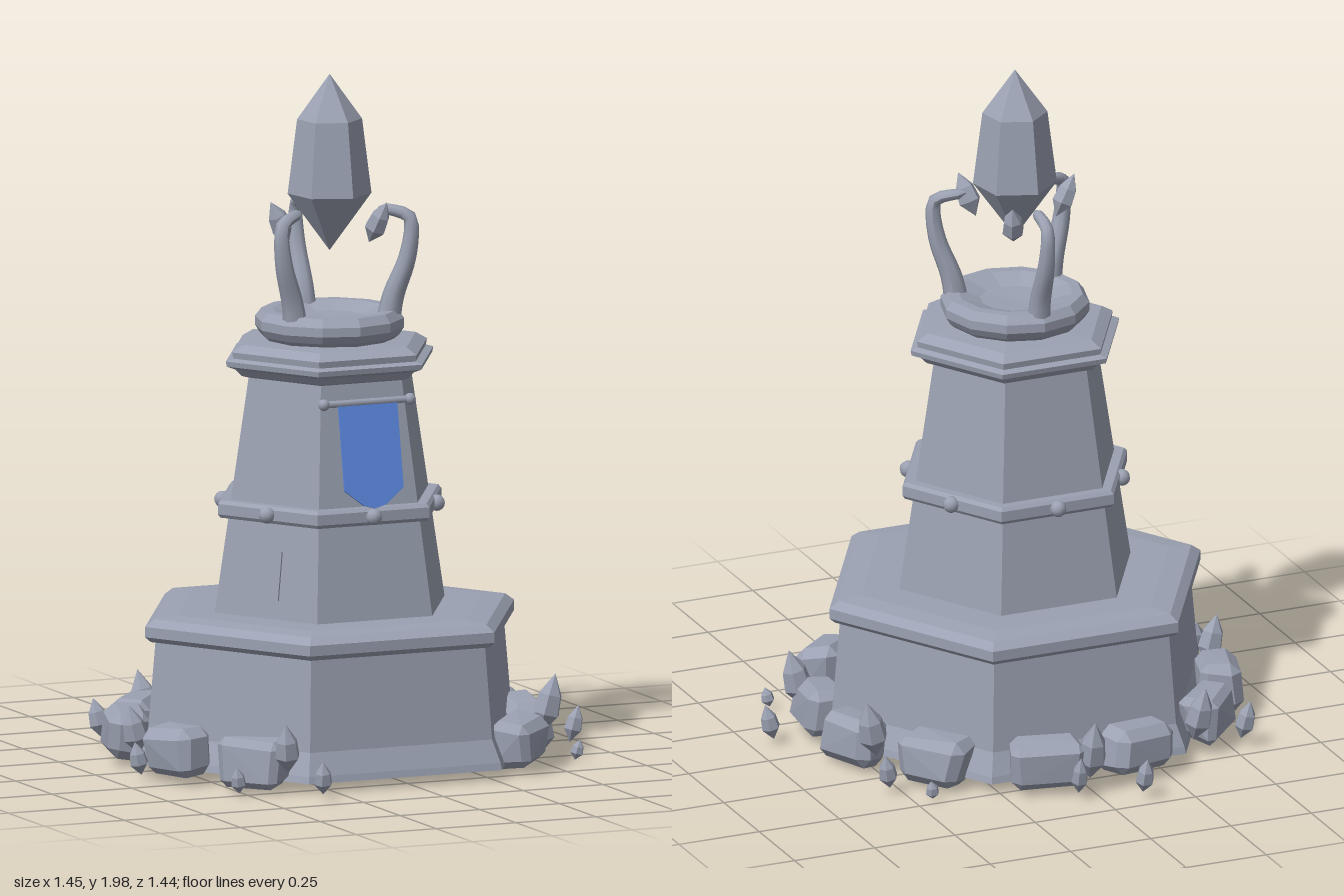
import * as THREE from 'three';
import { ConvexGeometry } from 'three/addons/geometries/ConvexGeometry.js';

const CX = -0.03, CZ = 0.03; // tower axis
const UP = new THREE.Vector3(0, 1, 0);

export function createModel() {
  const root = new THREE.Group();
  root.name = 'crystalTower';
  const stone = new THREE.MeshStandardMaterial({ color: 0x9ba1b2, side: THREE.DoubleSide });
  stone.name = 'stone grey';
  const cloth = new THREE.MeshStandardMaterial({ color: 0x5c88e0, side: THREE.DoubleSide });
  cloth.name = 'banner blue';

  const tower = new THREE.Group();
  tower.name = 'tower';
  tower.position.set(CX, 0, CZ);
  root.add(tower);

  const add = (parent, name, geo, mat = stone) => {
    const mesh = new THREE.Mesh(geo, mat);
    mesh.name = name;
    parent.add(mesh);
    return mesh;
  };
  const facet = (geo) => {
    const g = geo.index ? geo.toNonIndexed() : geo;
    g.computeVertexNormals();
    return g;
  };
  // Faceted solid from [radius, y] pairs, bottom to top
  const turned = (profile, sides = 6, start = Math.PI / 2) =>
    facet(new THREE.LatheGeometry(profile.map(([r, y]) => new THREE.Vector2(r, y)), sides, start));

  // Hollow plinth with its overhanging slab
  add(tower, 'plinth', turned([[0.605, 0.045], [0.6, 0.065], [0.57, 0.13], [0.545, 0.4]]));
  add(tower, 'plinthSlab', turned([[0, 0.395], [0.56, 0.395], [0.578, 0.41], [0.578, 0.44], [0.55, 0.46], [0.48, 0.467], [0, 0.467]]));

  // Tapered shaft, belt and cornice
  add(tower, 'shaft', turned([[0.362, 0.455], [0.252, 1.15]]));
  add(tower, 'belt', turned([[0.3, 0.74], [0.342, 0.74], [0.35, 0.75], [0.35, 0.78], [0.34, 0.79], [0.3, 0.79]]));
  add(tower, 'cornice', turned([[0.24, 1.135], [0.275, 1.145], [0.295, 1.165], [0.322, 1.175], [0.325, 1.19],
    [0.302, 1.197], [0.305, 1.215], [0.27, 1.235], [0, 1.25]]));
  for (let i = 0; i < 6; i++) {
    const a = i * Math.PI / 3;
    const stud = add(tower, 'beltStud', new THREE.SphereGeometry(0.024, 10, 8));
    stud.position.set(Math.sin(a) * 0.307, 0.765, Math.cos(a) * 0.307);
  }

  // Small plaque almost flush with the right front face
  const plaqueMount = new THREE.Group();
  plaqueMount.name = 'plaqueMount';
  plaqueMount.rotation.y = -Math.PI / 3;
  tower.add(plaqueMount);
  const plaque = add(plaqueMount, 'plaque', new THREE.BoxGeometry(0.08, 0.14, 0.008));
  plaque.position.set(0, 0.59, 0.296);
  plaque.rotation.x = -0.137;

  // Dished ring on top
  add(tower, 'dish', turned([[0.17, 1.225], [0.2, 1.25], [0.214, 1.272], [0.214, 1.298], [0.195, 1.322],
    [0.165, 1.322], [0.1, 1.3], [0, 1.295]], 12, 0));

  // Three tapered, hooked prongs
  const path = new THREE.CatmullRomCurve3([[0.165, 1.27], [0.182, 1.36], [0.222, 1.47], [0.235, 1.56], [0.228, 1.592], [0.14, 1.618]]
    .map(([r, y]) => new THREE.Vector3(0, y, r)), false, 'centripetal');
  const rings = 18, sides = 8;
  const prongGeo = new THREE.TubeGeometry(path, rings, 1, sides);
  const pos = prongGeo.attributes.position, v = new THREE.Vector3();
  for (let i = 0; i <= rings; i++) {
    const t = i / rings, c = path.getPointAt(t);
    const radius = i === rings ? 0.002 : 0.036 - 0.021 * t;
    for (let j = 0; j <= sides; j++) {
      const k = i * (sides + 1) + j;
      v.fromBufferAttribute(pos, k).sub(c).multiplyScalar(radius).add(c);
      pos.setXYZ(k, v.x, v.y, v.z);
    }
  }
  prongGeo.computeVertexNormals();
  for (const a of [Math.PI, Math.PI / 3, -Math.PI / 3]) {
    add(tower, 'prong', prongGeo).rotation.y = a;
  }

  // Floating main crystal
  add(tower, 'mainCrystal', turned([[0, 1.49], [0.12, 1.655], [0.093, 1.87], [0, 2]], 6, Math.PI / 18));

  // Pointed crystal of unit height and width, leaning away from the tower
  const shardGeo = turned([[0, -0.5], [0.5, -0.16], [0.42, 0.16], [0, 0.5]]);
  const shard = (name, x, y, z, length, width, lean) => {
    const m = add(root, name, shardGeo);
    const out = new THREE.Vector3(x - CX, 0, z - CZ).normalize();
    m.quaternion.setFromUnitVectors(UP, out.multiplyScalar(lean).add(UP).normalize());
    m.position.set(x, y, z);
    m.scale.set(width, length, width);
  };
  for (const [x, z] of [[0.04, -0.115], [-0.193, 0.045], [0.06, 0.165]]) {
    shard('floatingShard', x, 1.585, z, 0.135, 0.066, 0.5);
  }

  // Crystals around the foot: x, y, z, length, width
  for (const [x, y, z, l, w] of [
    [-0.115, 0.085, -0.7, 0.11, 0.055], [0.005, 0.145, -0.6, 0.19, 0.085], [0.06, 0.09, -0.635, 0.12, 0.05],
    [0.45, 0.05, -0.475, 0.06, 0.04], [0.545, 0.085, -0.375, 0.11, 0.055], [0.535, 0.165, -0.24, 0.18, 0.085],
    [0.695, 0.085, 0.12, 0.11, 0.055], [0.57, 0.165, 0.215, 0.18, 0.085], [0.59, 0.055, 0.375, 0.06, 0.04],
    [-0.35, 0.085, 0.69, 0.1, 0.055], [-0.395, 0.15, 0.54, 0.15, 0.075], [-0.525, 0.06, 0.49, 0.08, 0.045],
    [-0.7, 0.09, 0.185, 0.1, 0.055], [-0.655, 0.15, 0.06, 0.15, 0.075], [-0.54, 0.1, -0.445, 0.12, 0.06],
    [-0.39, 0.145, -0.46, 0.17, 0.08],
  ]) shard('footCrystal', x, y, z, l, w, 0.25);

  // Chamfered boulders with slightly uneven corners
  let seed = 7;
  const rand = () => (seed = (seed * 16807) % 2147483647) / 2147483647 - 0.5;
  const boulder = (w, h, d) => {
    const pts = [];
    for (const sx of [-1, 1]) for (const sy of [-1, 1]) for (const sz of [-1, 1]) {
      const c = 0.025 + rand() * 0.012;
      const x = w / 2 + rand() * 0.02, y = h / 2 + rand() * 0.015, z = d / 2 + rand() * 0.015;
      pts.push(new THREE.Vector3(sx * x, sy * (y - c), sz * (z - c)),
        new THREE.Vector3(sx * (x - c), sy * y, sz * (z - c)),
        new THREE.Vector3(sx * (x - c), sy * (y - c), sz * z));
    }
    return facet(new ConvexGeometry(pts));
  };
  for (const [x, z, w] of [
    [-0.16, -0.535, 0.2], [0.12, -0.535, 0.2], [0.395, -0.365, 0.19], [0.535, -0.125, 0.2], [0.535, 0.13, 0.19],
    [0.38, 0.435, 0.18], [-0.45, 0.43, 0.19], [-0.585, 0.2, 0.19], [-0.585, -0.145, 0.19], [-0.455, -0.36, 0.19],
  ]) {
    const rock = add(root, 'boulder', boulder(w, 0.135, 0.12));
    rock.position.set(x, 0.105 + rand() * 0.015, z);
    rock.rotation.set(rand() * 0.2, Math.atan2(x - CX, z - CZ), rand() * 0.15, 'YXZ');
  }

  // Hanging banner with its rod and end knobs
  const banner = new THREE.Group();
  banner.name = 'banner';
  banner.position.set(CX, 1.09, 0.288);
  root.add(banner);
  const outline = new THREE.Shape([[-0.092, 0], [-0.092, -0.25], [-0.035, -0.295], [0, -0.305], [0.035, -0.295], [0.092, -0.25], [0.092, 0]]
    .map(([x, y]) => new THREE.Vector2(x, y)));
  const sheet = add(banner, 'bannerCloth', new THREE.ExtrudeGeometry(outline, { depth: 0.006, bevelEnabled: false }), cloth);
  sheet.rotation.x = -0.18;
  const rod = add(banner, 'bannerRod', new THREE.CylinderGeometry(0.01, 0.01, 0.27, 8));
  rod.rotation.z = Math.PI / 2;
  for (const s of [-1, 1]) {
    add(banner, 'rodKnob', new THREE.SphereGeometry(0.017, 10, 8)).position.x = s * 0.135;
  }
  return root;
}
